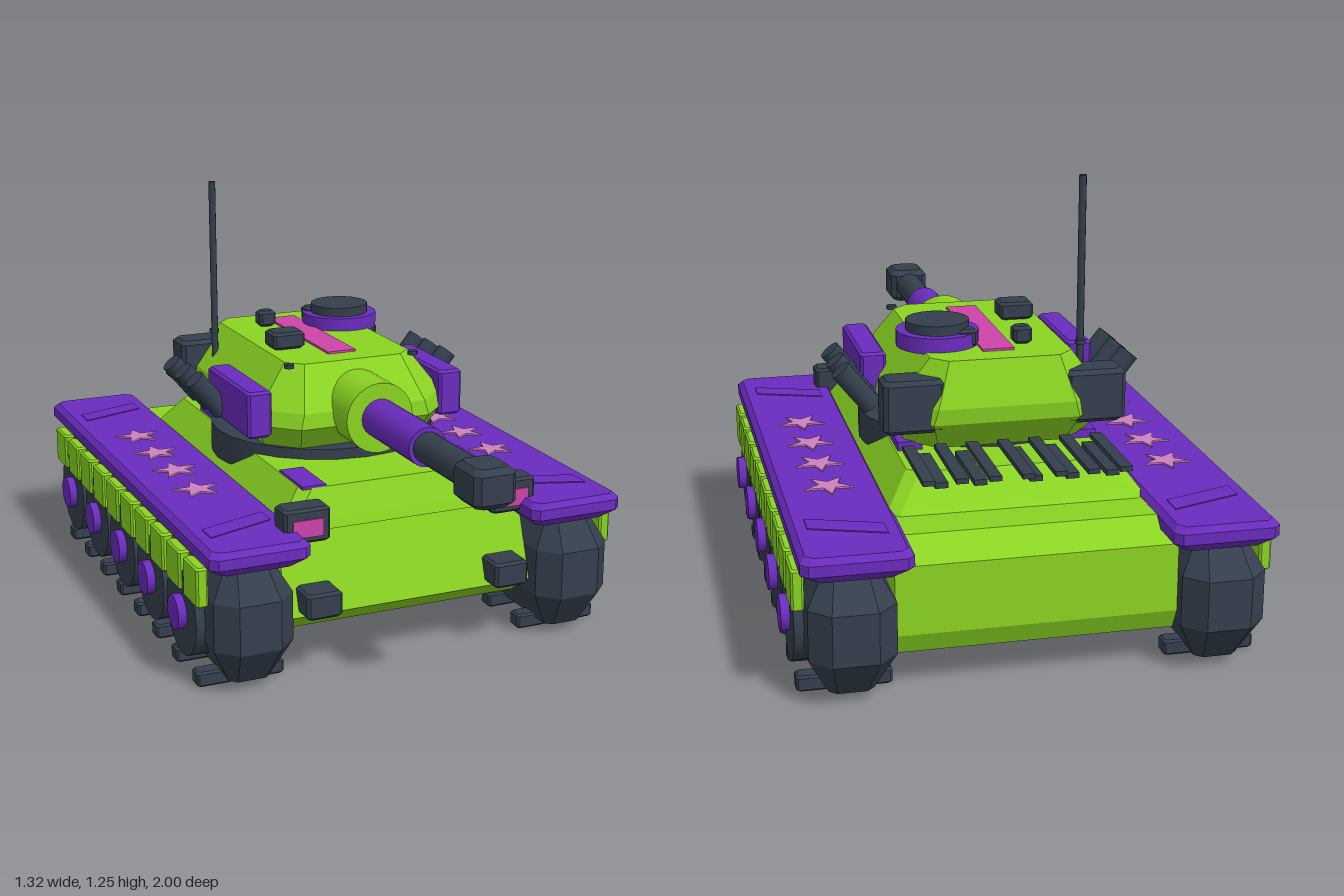
import * as THREE from 'three';

const mat = (name, color) => {
  const m = new THREE.MeshStandardMaterial({ color });
  m.name = name;
  return m;
};

// Chamfered rectangle in plan at height y: half width hx, back z0, front z1, corner cut c
const ring = (y, hx, z0, z1, c) => [
  [hx, z1 - c], [hx, z0 + c], [hx - c, z0], [c - hx, z0],
  [-hx, z0 + c], [-hx, z1 - c], [c - hx, z1], [hx - c, z1],
].map(([x, z]) => [x, y, z]);

// Flat-faced solid through a stack of rings, bottom to top
function loft(...rings) {
  const n = rings[0].length, idx = [], top = (rings.length - 1) * n;
  for (let r = 0; r < rings.length - 1; r++) {
    for (let i = 0; i < n; i++) {
      const a = r * n + i, b = r * n + (i + 1) % n;
      idx.push(a, b, b + n, a, b + n, a + n);
    }
  }
  for (let i = 1; i < n - 1; i++) {
    idx.push(0, i + 1, i, top, top + i, top + i + 1);
  }
  const g = new THREE.BufferGeometry();
  g.setAttribute('position', new THREE.Float32BufferAttribute(rings.flat(2), 3));
  g.setIndex(idx);
  const flat = g.toNonIndexed();
  flat.computeVertexNormals();
  return flat;
}

// Box with bevelled edges
function bevelBox(w, h, d, b = 0.008) {
  const r = (y, i) => ring(y, w / 2 - i, i - d / 2, d / 2 - i, b);
  return loft(r(-h / 2, b), r(b - h / 2, 0), r(h / 2 - b, 0), r(h / 2, b));
}

// Flat plate from [x, z] corners, lying on the deck
function plate(points, thickness) {
  const s = new THREE.Shape(points.map(([x, z]) => new THREE.Vector2(x, -z)));
  return new THREE.ExtrudeGeometry(s, { depth: thickness, bevelEnabled: false }).rotateX(-Math.PI / 2);
}

export function createModel() {
  const model = new THREE.Group();
  model.name = 'tank';
  const lime = mat('lime', 0x8ad422), purple = mat('purple', 0x6a2cbe);
  const dark = mat('darkSteel', 0x343f4d), pink = mat('pink', 0xcc44a8), rose = mat('rose', 0xcc80be);

  const add = (name, geo, material, x = 0, y = 0, z = 0, parent = model) => {
    const m = new THREE.Mesh(geo, material);
    m.name = name;
    m.position.set(x, y, z);
    parent.add(m);
    return m;
  };
  const tube = (r, len, seg = 20) => new THREE.CylinderGeometry(r, r, len, seg);

  // Hull: side profile stretched across the width, then the sloped upper deck
  const profile = [[0.42, 0.11], [0.52, 0.18], [0.44, 0.41], [-0.84, 0.42], [-0.91, 0.36], [-0.91, 0.17], [-0.88, 0.11]];
  const hullShape = new THREE.Shape(profile.map(([z, y]) => new THREE.Vector2(-z, y)));
  const hull = new THREE.ExtrudeGeometry(hullShape, { depth: 0.76, bevelEnabled: false });
  hull.translate(0, 0, -0.38).rotateY(Math.PI / 2);
  add('lowerHull', hull, lime);
  add('upperHull', loft(ring(0.4, 0.37, -0.73, 0.45, 0.03), ring(0.43, 0.35, -0.7, 0.44, 0.03),
    ring(0.512, 0.29, -0.63, 0.41, 0.03)), lime);

  // Engine grille: two layers of bars
  for (let i = 0; i < 7; i++) {
    add('grilleBar', new THREE.BoxGeometry(0.033, 0.014, 0.29), dark, -0.26 + i * 0.0885, 0.546, -0.675);
  }
  for (const x of [-0.235, -0.125, -0.025, 0.125, 0.23]) {
    add('lowerGrilleBar', new THREE.BoxGeometry(0.035, 0.016, 0.24), dark, x, 0.524, -0.66);
  }

  // Running gear, fenders and hull fittings on both sides
  for (const s of [-1, 1]) {
    const side = new THREE.Group();
    side.name = s > 0 ? 'leftSide' : 'rightSide';
    model.add(side);
    const put = (name, geo, m, x, y, z) => add(name, geo, m, s * x, y, z, side);

    put('track', loft(ring(0.03, 0.06, -0.92, 0.54, 0.02), ring(0.14, 0.115, -1, 0.615, 0.055),
      ring(0.28, 0.115, -1, 0.615, 0.055), ring(0.38, 0.06, -0.92, 0.54, 0.02)), dark, 0.495, 0, 0);
    for (let i = 0; i < 8; i++) {
      put('trackPad', bevelBox(0.255, 0.044, 0.052, 0.006), dark, 0.502, 0.024, 0.45 - i * 0.18);
    }
    for (let i = 0; i < 5; i++) {
      const z = 0.365 - i * 0.277;
      put('roadWheel', tube(0.128, 0.06).rotateZ(Math.PI / 2), dark, 0.606, 0.192, z);
      put('wheelHub', tube(0.05, 0.06, 16).rotateZ(Math.PI / 2), purple, 0.63, 0.192, z);
    }
    for (let i = 0; i < 10; i++) {
      put('skirtPanel', bevelBox(0.034, 0.115, 0.115, 0.006), lime, 0.628, 0.315, 0.47 - i * 0.146);
    }

    put('fender', loft(ring(0.36, 0.11, -0.965, 0.575, 0.02), ring(0.39, 0.145, -1, 0.61, 0.02),
      ring(0.42, 0.145, -1, 0.61, 0.02), ring(0.436, 0.13, -0.985, 0.595, 0.02)), purple, 0.485, 0, 0);
    for (const z of [-0.79, 0.41]) {
      put('fenderPlate', plate([[s * 0.585, z], [s * 0.385, z - 0.07], [s * 0.385, z], [s * 0.585, z + 0.07]]
        .slice()[s > 0 ? 'slice' : 'reverse'](), 0.004), purple, 0, 0.435, 0);
    }
    const star = Array.from({ length: 10 }, (_, i) => {
      const r = i % 2 ? 0.028 : 0.07, a = i * Math.PI / 5;
      return [r * Math.sin(a), -r * Math.cos(a)];
    });
    for (const z of [-0.485, -0.295, -0.11, 0.085]) {
      put('fenderStar', plate(star, 0.006), rose, 0.485, 0.435, z);
    }

    put('headlampHousing', bevelBox(0.138, 0.1, 0.08), dark, 0.32, 0.446, 0.485);
    put('headlampLens', new THREE.BoxGeometry(0.09, 0.05, 0.008), pink, 0.32, 0.441, 0.526);
    put('towBlock', bevelBox(0.106, 0.075, 0.1), dark, 0.291, 0.227, 0.53);
    put('deckHatch', new THREE.BoxGeometry(0.072, 0.009, 0.17), purple, 0.252, 0.514, 0.325);
    put('rearDeckBlock', new THREE.BoxGeometry(0.07, 0.025, 0.13), purple, 0.25, 0.524, -0.385);

    // Turret side fittings
    put('turretSidePanel', bevelBox(0.075, 0.14, 0.345), purple, 0.308, 0.656, -0.028);
    put('turretRearBox', bevelBox(0.17, 0.15, 0.107, 0.012), dark, 0.255, 0.665, -0.502);
    for (const z of [-0.315, -0.21, -0.105]) {
      const launcher = put('smokeLauncher', tube(0.031, 0.14, 14), dark, 0.378, 0.662, z);
      launcher.rotation.z = -s * 0.68;
    }
    for (const z of [-0.4, 0.1]) {
      put('turretBolt', tube(0.015, 0.012, 10), dark, z < 0 && s < 0 ? 0.25 : 0.2, 0.782, z);
    }
  }

  // Turret
  add('turretRing', tube(0.342, 0.09, 24), dark, 0, 0.498, -0.13);
  add('turret', loft(ring(0.53, 0.26, -0.5, 0.14, 0.08), ring(0.615, 0.305, -0.565, 0.205, 0.1),
    ring(0.66, 0.293, -0.57, 0.2, 0.1), ring(0.785, 0.2, -0.53, 0.11, 0.045)), lime);
  add('roofStripe', new THREE.BoxGeometry(0.09, 0.009, 0.485), pink, 0, 0.787, -0.213);

  // Gun
  const gun = new THREE.Group();
  gun.name = 'gun';
  gun.position.y = 0.655;
  model.add(gun);
  add('mantlet', tube(0.104, 0.22, 28).rotateX(Math.PI / 2), lime, 0, 0, 0.19, gun);
  add('barrelSleeve', tube(0.057, 0.34).rotateX(Math.PI / 2), purple, 0, 0, 0.435, gun);
  add('barrel', tube(0.044, 0.33).rotateX(Math.PI / 2), dark, 0, 0, 0.74, gun);
  add('muzzle', bevelBox(0.122, 0.108, 0.14, 0.016), dark, 0, 0, 0.93, gun);

  // Roof fittings
  add('cupola', tube(0.117, 0.045, 24), purple, 0.147, 0.802, -0.327);
  add('cupolaHatch', tube(0.09, 0.03, 20), dark, 0.147, 0.837, -0.327);
  add('roofSight', bevelBox(0.1, 0.052, 0.085), dark, -0.13, 0.812, -0.105);
  for (const x of [-0.082, 0.075]) {
    add('periscope', bevelBox(0.054, 0.05, 0.05), dark, x, 0.811, -0.385);
  }
  add('antenna', tube(0.011, 0.6, 8), dark, -0.252, 0.955, -0.39);

  return model;
}
